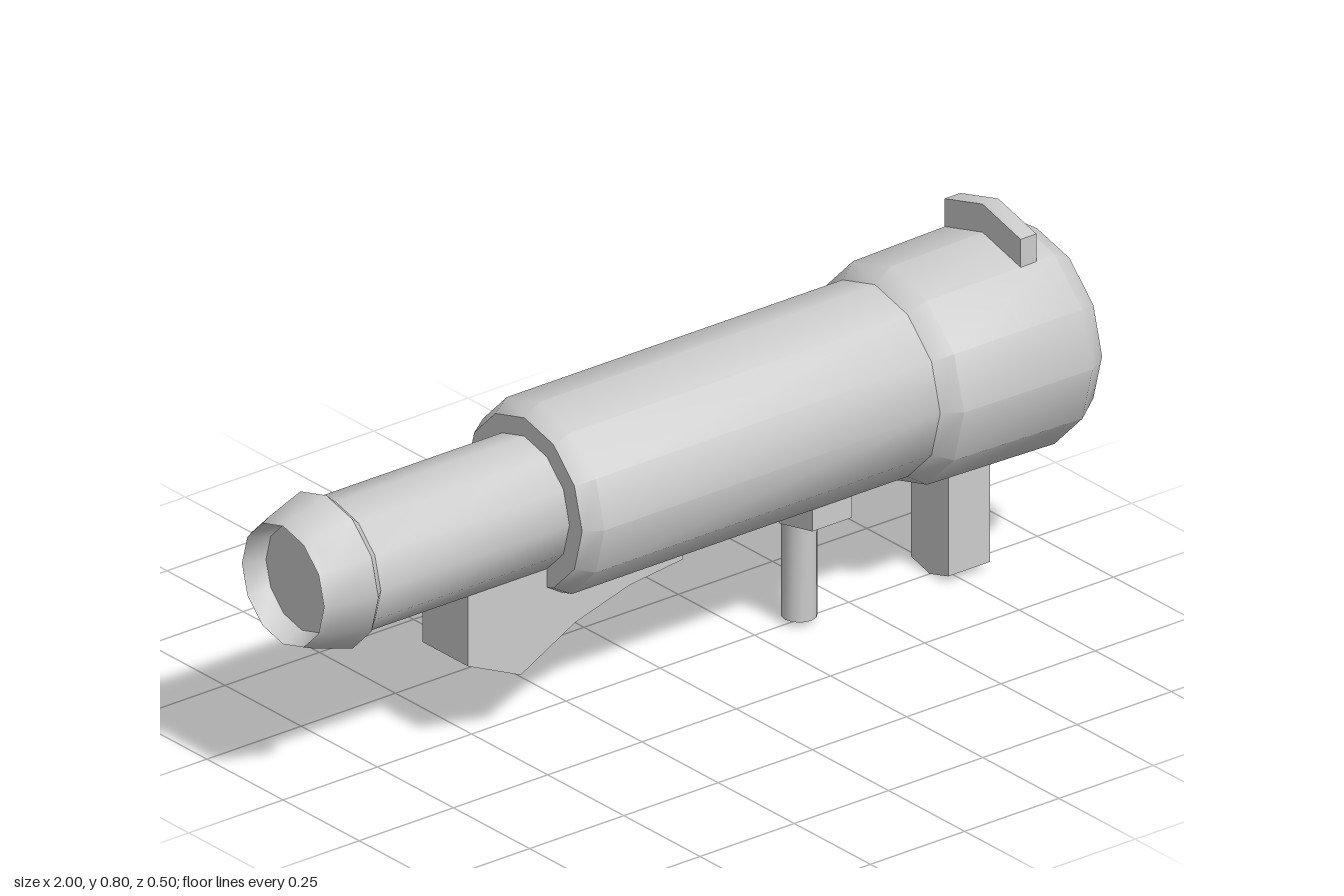
import * as THREE from 'three';
import { toCreasedNormals } from 'three/addons/utils/BufferGeometryUtils.js';

const AXIS_Y = 0.4925;

export function createModel() {
  const model = new THREE.Group();
  const material = new THREE.MeshStandardMaterial({ color: 0xcccccc });

  const add = (name, geometry, x = 0, y = 0, z = 0) => {
    const mesh = new THREE.Mesh(toCreasedNormals(geometry, 0.6), material);
    mesh.name = name;
    mesh.position.set(x, y, z);
    model.add(mesh);
    return mesh;
  };

  // Extrudes an outline by depth, centred on the extrusion axis
  const slab = (points, depth) => {
    const shape = new THREE.Shape(points.map(([x, y]) => new THREE.Vector2(x, y)));
    return new THREE.ExtrudeGeometry(shape, { depth, bevelEnabled: false }).translate(0, 0, -depth / 2);
  };
  // Outline in z and y, extruded along x
  const crossSlab = (points, width) => slab(points, width).rotateY(Math.PI / 2);

  // Twelve-sided tube with a deep bore at the wide end: [radius, x]
  const profile = [
    [0, -0.95], [0.118, -0.95], [0.135, -1], [0.143, -0.98], [0.171, -0.885],
    [0.148, -0.86], [0.148, -0.36], [0.19, -0.36], [0.214, -0.32],
    [0.214, 0.57], [0.243, 0.61], [0.25, 0.945], [0.213, 1],
    [0.155, 1], [0.155, 0.35], [0, 0.35],
  ].map(([r, x]) => new THREE.Vector2(r, x));
  add('barrel', new THREE.LatheGeometry(profile, 12).rotateZ(-Math.PI / 2), 0, AXIS_Y);

  // Chevron sight seated on the wide collar
  add('frontSight', crossSlab([
    [-0.125, 0.705], [0, 0.735], [0.125, 0.705], [0.125, 0.771], [0, 0.805], [-0.125, 0.771],
  ], 0.042), 0.876);

  // Shoulder rest under the narrow tube
  add('shoulderRest', slab([
    [-0.57, 0.38], [-0.57, 0.205], [-0.43, 0.143], [-0.285, 0.22],
    [-0.14, 0.262], [0, 0.278], [0, 0.32], [-0.3, 0.38],
  ], 0.15));

  // Forward grip with a pointed underside
  add('forwardGrip', crossSlab([
    [-0.061, 0.018], [0, 0.001], [0.061, 0.018], [0.061, 0.28], [-0.061, 0.28],
  ], 0.11), 0.77);

  // Saddle, pistol grip and trigger
  add('gripSaddle', crossSlab([
    [-0.107, 0.258], [0, 0.236], [0.107, 0.258], [0.107, 0.31], [-0.107, 0.31],
  ], 0.105), 0.37);
  add('pistolGrip', new THREE.CylinderGeometry(0.038, 0.038, 0.25, 12), 0.369, 0.137);
  add('triggerBlock', new THREE.BoxGeometry(0.08, 0.045, 0.05), 0.44, 0.272);
  add('triggerGuard', new THREE.TorusGeometry(0.038, 0.004, 6, 12, Math.PI * 1.15)
    .rotateZ(-Math.PI), 0.443, 0.252);

  return model;
}
